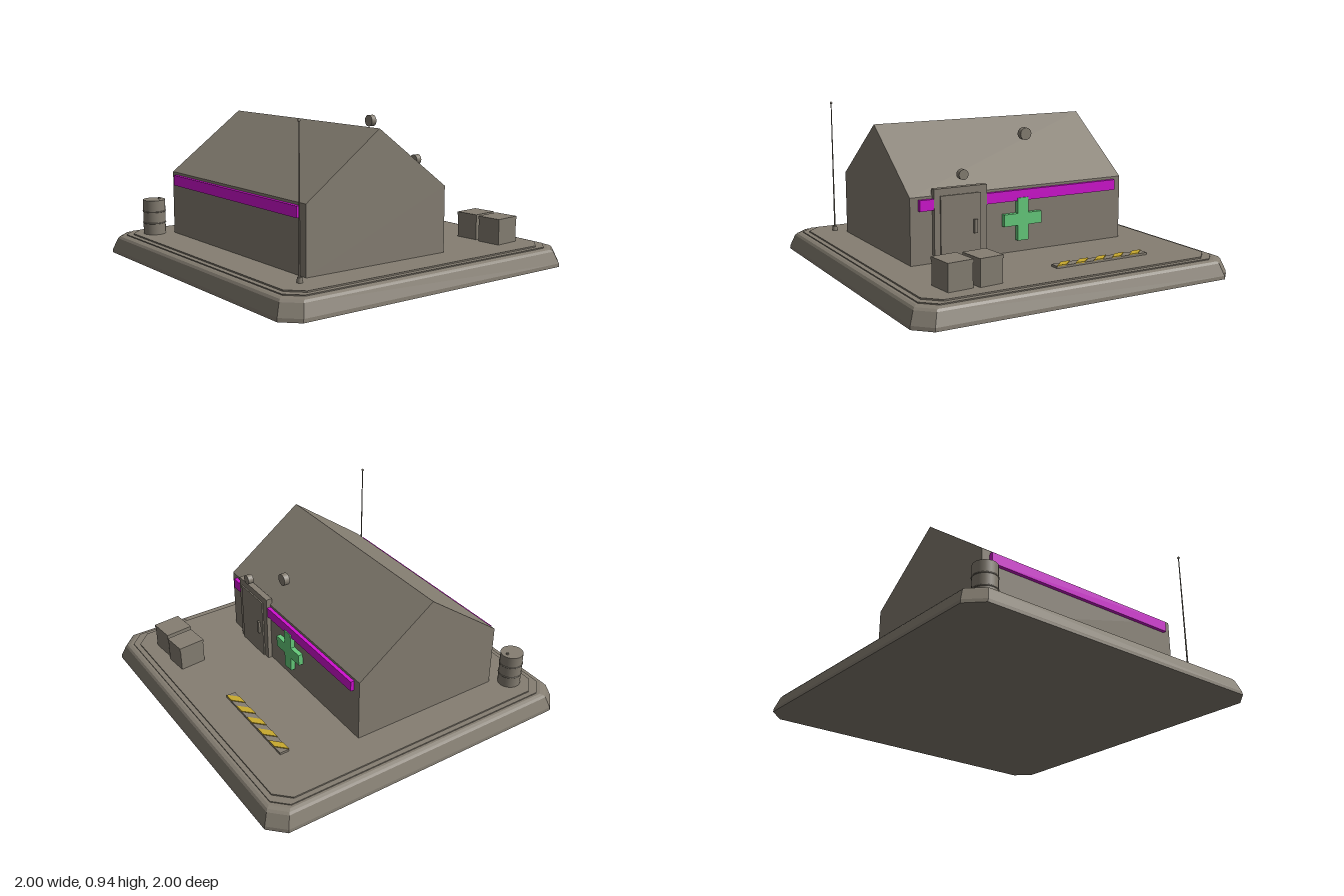
import * as THREE from 'three';

const mat = (name, color, side = THREE.FrontSide) => {
  const m = new THREE.MeshStandardMaterial({ color, side });
  m.name = name;
  return m;
};

// Square outline with cut corners, lofted through [halfWidth, y, cornerCut] layers
function loftSlab(layers) {
  const rings = layers.map(([h, y, c]) => [
    [h, -h + c], [h, h - c], [h - c, h], [-h + c, h],
    [-h, h - c], [-h, -h + c], [-h + c, -h], [h - c, -h],
  ].map(([x, z]) => [x, y, z]));
  const pos = [];
  const tri = (...pts) => pts.forEach((p) => pos.push(...p));
  const last = rings.length - 1;
  for (let i = 0; i < 8; i++) {
    const j = (i + 1) % 8;
    for (let k = 0; k < last; k++) {
      tri(rings[k][i], rings[k + 1][i], rings[k + 1][j]);
      tri(rings[k][i], rings[k + 1][j], rings[k][j]);
    }
    tri([0, layers[last][1], 0], rings[last][j], rings[last][i]);
    tri([0, layers[0][1], 0], rings[0][i], rings[0][j]);
  }
  const g = new THREE.BufferGeometry();
  g.setAttribute('position', new THREE.Float32BufferAttribute(pos, 3));
  g.computeVertexNormals();
  return g;
}

export function createModel() {
  const root = new THREE.Group();
  root.name = 'medicalOutpost';
  const grey = mat('weatheredGrey', 0x857e72);
  const magenta = mat('magentaStripe', 0xd010d0);
  const green = mat('medicalGreen', 0x66cc7c);
  const yellow = mat('hazardYellow', 0xc8a92e);

  const add = (name, geo, material, x = 0, y = 0, z = 0, parent = root) => {
    const m = new THREE.Mesh(geo, material);
    m.name = name;
    m.position.set(x, y, z);
    parent.add(m);
    return m;
  };
  // Box given by its extents
  const box = (name, material, x0, x1, y0, y1, z0, z1, parent = root) =>
    add(name, new THREE.BoxGeometry(x1 - x0, y1 - y0, z1 - z0), material,
      (x0 + x1) / 2, (y0 + y1) / 2, (z0 + z1) / 2, parent);
  const group = (name, x, y, z) => {
    const g = new THREE.Group();
    g.name = name;
    g.position.set(x, y, z);
    root.add(g);
    return g;
  };

  // Ground slab with sloped sides, and the raised pad on it
  add('baseSlab', loftSlab([
    [1, 0, 0.09], [0.998, 0.02, 0.09], [0.972, 0.088, 0.085], [0.962, 0.1, 0.083], [0.945, 0.106, 0.08],
  ]), grey);
  add('raisedPad', loftSlab([[0.93, 0.1, 0.08], [0.93, 0.112, 0.08]]), grey);
  add('floorPad', loftSlab([[0.9, 0.11, 0.085], [0.9, 0.12, 0.085]]), grey);

  // Gabled building
  const gable = new THREE.Shape([
    [-0.68, 0.12], [0.272, 0.12], [0.272, 0.5], [-0.204, 0.85], [-0.68, 0.5],
  ].map(([x, y]) => new THREE.Vector2(x, y)));
  add('building', new THREE.ExtrudeGeometry(gable, { depth: 1.4, bevelEnabled: false }), grey, 0, 0, -0.7);

  // Side stripes
  box('rightStripe', magenta, 0.26, 0.294, 0.423, 0.485, -0.65, 0.65);
  box('leftStripe', magenta, -0.702, -0.67, 0.423, 0.485, -0.65, 0.65);

  // Door
  box('doorFrame', grey, 0.26, 0.298, 0.12, 0.54, 0.238, 0.566);
  box('doorPanel', grey, 0.28, 0.306, 0.12, 0.5, 0.28, 0.53);
  box('doorHandle', grey, 0.3, 0.32, 0.272, 0.35, 0.307, 0.327);

  // Medical cross
  const a = 0.035, b = 0.125;
  const cross = new THREE.Shape([
    [a, -b], [a, -a], [b, -a], [b, a], [a, a], [a, b],
    [-a, b], [-a, a], [-b, a], [-b, -a], [-a, -a], [-a, -b],
  ].map(([x, y]) => new THREE.Vector2(x, y)));
  add('medicalCross', new THREE.ExtrudeGeometry(cross, { depth: 0.032, bevelEnabled: false }),
    green, 0.268, 0.315, 0).rotation.y = Math.PI / 2;

  // Round lamps beside the roof
  for (const [name, r, x, y, z] of [
    ['upperLamp', 0.035, 0.309, 0.81, 0], ['doorLamp', 0.029, 0.32, 0.613, 0.403],
  ]) {
    add(name, new THREE.CylinderGeometry(r, r, 0.034, 24), grey, x, y, z).rotation.z = -Math.PI / 2;
  }

  // Barrel with hoops and a bung
  const barrel = group('barrel', -0.784, 0.12, -0.76);
  add('barrelBody', new THREE.CylinderGeometry(0.067, 0.067, 0.21, 28), grey, 0, 0.105, 0, barrel);
  for (const y of [0.07, 0.14]) {
    add('barrelHoop', new THREE.TorusGeometry(0.067, 0.004, 6, 28), grey, 0, y, 0, barrel).rotation.x = Math.PI / 2;
  }
  add('barrelBung', new THREE.CylinderGeometry(0.009, 0.009, 0.01, 12), grey, 0.036, 0.213, 0, barrel);

  // Antenna
  const antenna = group('antenna', -0.757, 0.12, 0.752);
  add('antennaFoot', new THREE.CylinderGeometry(0.014, 0.016, 0.028, 12), grey, 0, 0.014, 0, antenna);
  add('antennaMast', new THREE.CylinderGeometry(0.003, 0.005, 0.8, 8), grey, 0, 0.405, 0, antenna);
  add('antennaTip', new THREE.SphereGeometry(0.008, 10, 8), grey, 0, 0.808, 0, antenna);

  // Two crates with lids
  for (const [z, d] of [[0.5, 0.141], [0.678, 0.149]]) {
    const crate = group('crate', 0.726, 0.12, z);
    crate.rotation.y = 0.09;
    box('crateBody', grey, -0.08, 0.08, 0, 0.145, -d / 2, d / 2, crate);
    box('crateLid', grey, -0.083, 0.083, 0.135, 0.152, -d / 2 - 0.002, d / 2 + 0.002, crate);
  }

  // Hazard strip: low bar with slanted yellow bands
  box('hazardBar', grey, 0.648, 0.706, 0.115, 0.133, -0.58, 0.03);
  const p = 0.061;
  const band = new THREE.Shape([
    [0, 0], [0, -p], [0.058, -2 * p], [0.058, -p],
  ].map(([x, y]) => new THREE.Vector2(x, y)));
  const bandGeo = new THREE.ExtrudeGeometry(band, { depth: 0.008, bevelEnabled: false });
  bandGeo.rotateX(-Math.PI / 2);
  for (let i = 0; i < 5; i++) {
    add('hazardBand', bandGeo, yellow, 0.648, 0.13, -0.58 + i * 2 * p);
  }

  return root;
}
